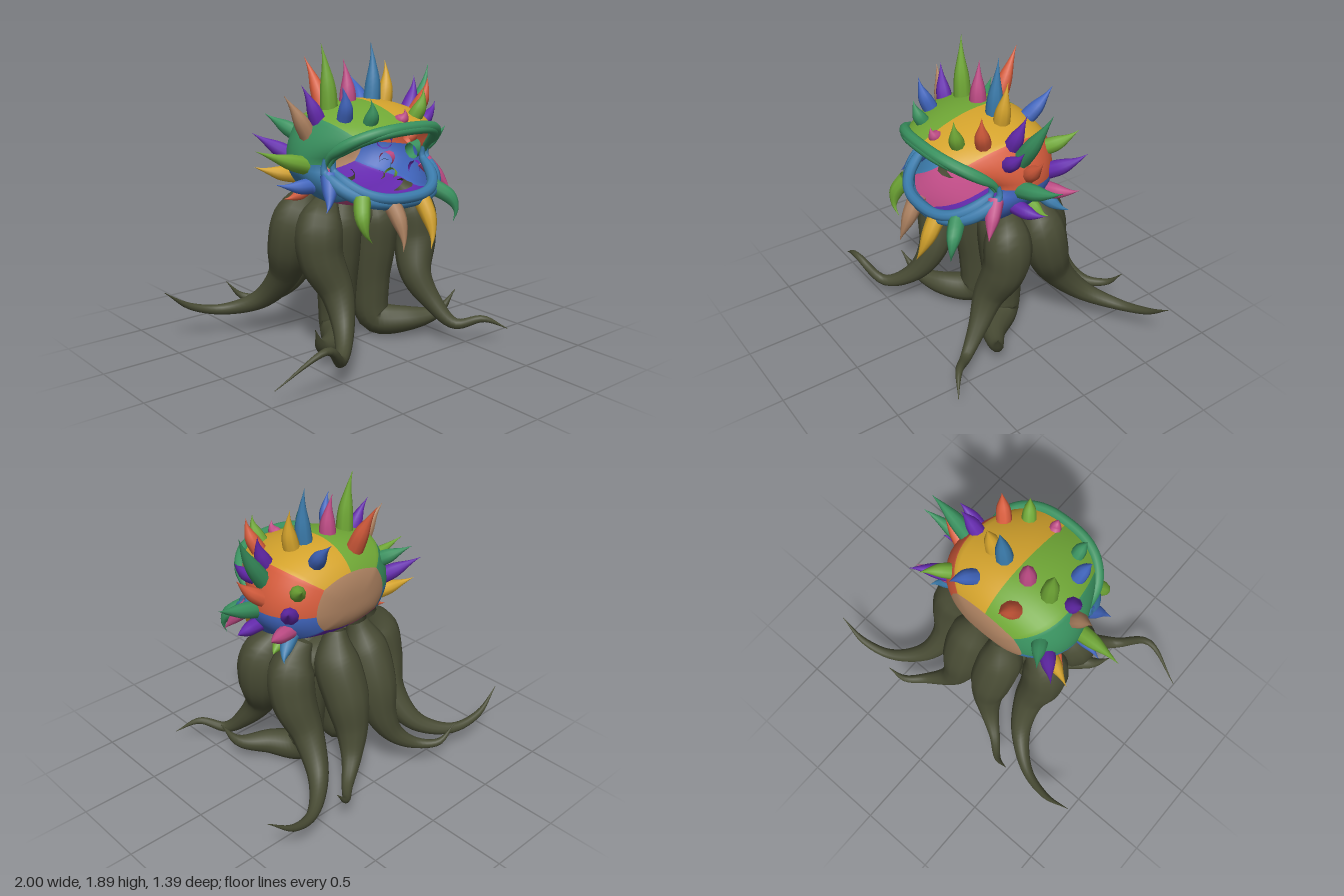
import * as THREE from 'three';
import { mergeVertices } from 'three/addons/utils/BufferGeometryUtils.js';

const V = (x, y, z) => new THREE.Vector3(x, y, z);
const colours = {
  olive: 0x484b34, green: 0x70a836, yellow: 0xd4a32c, red: 0xd65c3c, blue: 0x4065bd,
  steel: 0x3b7bab, teal: 0x39915f, brown: 0xac8160, purple: 0x6429ad, pink: 0xbf4c86,
};

// Tube with a radius that varies along its control points
function taperedTube(points, radii, segments, sides) {
  const curve = new THREE.CatmullRomCurve3(points);
  const profile = new THREE.SplineCurve(radii.map((r) => new THREE.Vector2(r, 0)));
  const tube = new THREE.TubeGeometry(curve, segments, 1, sides);
  const pos = tube.attributes.position;
  const v = V(0, 0, 0);
  for (let i = 0; i <= segments; i++) {
    const u = i / segments;
    const centre = curve.getPointAt(u);
    const r = Math.max(0.001, profile.getPoint(curve.getUtoTmapping(u)).x);
    for (let j = 0; j <= sides; j++) {
      const k = i * (sides + 1) + j;
      v.fromBufferAttribute(pos, k).sub(centre).multiplyScalar(r).add(centre);
      pos.setXYZ(k, v.x, v.y, v.z);
    }
  }
  tube.deleteAttribute('uv');
  tube.deleteAttribute('normal');
  const geo = mergeVertices(tube, 1e-5);
  geo.computeVertexNormals();
  return geo;
}

// Mouth opening: a rounded loop that is swept back at the corners
function rim(angle, scale = 1, forward = 0) {
  const c = Math.cos(angle), s = Math.sin(angle);
  const round = (t) => Math.sign(t) * Math.abs(t) ** 0.78;
  return V(0.385 * round(c) * scale, 1.2 + 0.21 * round(s) * scale,
    0.19 + 0.29 * Math.abs(s) + forward);
}

// Widest ring of the head, between a square and a circle
function waist(a, b) {
  const v = V(a, b, 0);
  const p = v.clone().normalize().multiplyScalar(0.75).addScaledVector(v, 0.25);
  return V(0.47 * p.x, 1.2 + (p.y > 0 ? 0.34 : 0.25) * p.y, 0.02);
}

// Maps a cube onto the head: the rear closes as a dome, the front runs to the mouth rim
function headPoint(a, b, c) {
  const m = Math.max(Math.abs(a), Math.abs(b));
  if (m === 0) return V(0, 1.2, -0.3);
  const from = waist(a / m, b / m);
  if (c <= 0) {
    const polar = THREE.MathUtils.degToRad(c > -1 ? 90 + 61 * c : 29 * m);
    const spread = Math.sin(polar) ** 0.75;
    return V(from.x * spread, 1.2 + (from.y - 1.2) * spread, 0.02 - 0.32 * Math.cos(polar));
  }
  const to = rim(Math.atan2(b, a));
  const p = from.clone().lerp(to, c * c);
  p.z = from.z + (to.z - from.z) * c;
  if (b < 0) p.y += 0.035 * b * Math.sin(Math.PI * c);
  return p;
}

function headGeometry(order) {
  const box = new THREE.BoxGeometry(2, 2, 2, 16, 16, 16);
  box.deleteAttribute('uv');
  box.deleteAttribute('normal');
  const geo = mergeVertices(box);
  const pos = geo.attributes.position;
  const index = geo.index.array;
  const buckets = order.map(() => []);
  // Sort the cube's triangles into coloured panels and leave the front open
  for (let i = 0; i < index.length; i += 3) {
    const tri = [index[i], index[i + 1], index[i + 2]];
    const m = V(0, 0, 0);
    tri.forEach((k) => m.add(V(pos.getX(k), pos.getY(k), pos.getZ(k))));
    m.divideScalar(3);
    let name;
    if (m.z > 0.999) continue;
    if (m.z < -0.999) name = 'brown';
    else if (m.y > 0.999) name = m.x < 0 ? 'green' : 'yellow';
    else if (m.y < -0.999) name = m.x < 0 ? 'pink' : 'purple';
    else if (m.x > 0) name = m.y > 0 ? 'red' : 'blue';
    else name = m.y > 0 ? 'teal' : 'steel';
    buckets[order.indexOf(name)].push(...tri);
  }
  geo.setIndex(buckets.flat());
  geo.clearGroups();
  let start = 0;
  buckets.forEach((b, i) => { geo.addGroup(start, b.length, i); start += b.length; });
  for (let i = 0; i < pos.count; i++) {
    const p = headPoint(pos.getX(i), pos.getY(i), pos.getZ(i));
    pos.setXYZ(i, p.x, p.y, p.z);
  }
  geo.computeVertexNormals();
  return geo;
}

// Crown spikes: colour, x, z, height
const crownSpikes = [
  ['green', -0.23, 0.03, 0.37], ['pink', -0.08, 0.02, 0.27], ['steel', 0.1, 0.03, 0.36], ['yellow', 0.19, 0.04, 0.25],
  ['red', -0.13, -0.17, 0.28], ['blue', 0.18, -0.17, 0.15], ['blue', -0.28, 0.24, 0.17], ['teal', -0.18, 0.35, 0.13],
  ['pink', 0.02, 0.38, 0.07], ['green', 0.18, 0.34, 0.16], ['red', 0.29, 0.24, 0.18],
];
// Mirrored flank spikes: colour on +x, colour on -x, base, tip, length factor on -x
const flankSpikes = [
  ['purple', 'purple', [0.35, 1.44, 0.08], [0.44, 1.65, 0.05], 1],
  ['teal', 'brown', [0.41, 1.38, 0.05], [0.61, 1.71, 0], 0.65],
  ['teal', 'green', [0.44, 1.19, 0.07], [0.75, 1.3, 0.03], 1],
  ['green', 'teal', [0.34, 1.35, -0.18], [0.44, 1.45, -0.33], 1],
  ['purple', 'purple', [0.39, 1.22, -0.17], [0.54, 1.34, -0.32], 1],
  ['purple', 'blue', [0.43, 1.07, 0.09], [0.62, 1.09, 0.04], 1],
  ['pink', 'yellow', [0.39, 1.1, -0.14], [0.59, 1.15, -0.23], 1],
  ['green', 'red', [0.35, 1.01, -0.06], [0.47, 0.96, -0.1], 1],
  ['pink', 'blue', [0.39, 1.12, 0.23], [0.49, 0.96, 0.34], 1],
];
// Further spikes on the +x side only
const sideSpikes = [
  ['purple', [0.4, 1.36, 0.14], [0.54, 1.49, 0.14]],
  ['red', [0.43, 1.27, 0.02], [0.6, 1.43, 0.05]],
  ['steel', [0.37, 1.05, -0.14], [0.5, 0.97, -0.23]],
];
// Horns under the lower lip: colour, base, tip, bend
const horns = [
  ['green', [-0.29, 1.0, 0.42], [-0.28, 0.78, 0.49], [-0.06, 0, 0.03]],
  ['brown', [-0.11, 0.97, 0.46], [-0.12, 0.72, 0.58], [0.02, 0, 0.02]],
  ['yellow', [0.12, 0.97, 0.46], [0.09, 0.7, 0.59], [0.03, 0, 0.02]],
  ['teal', [0.28, 1.0, 0.42], [0.35, 0.81, 0.51], [0.05, 0.03, 0.04]],
];

// Tentacle paths on the +x side, and the girth along them
const legPaths = {
  middleLeg: [[0.12, 0.93, 0.01], [0.15, 0.8, 0.01], [0.15, 0.6, 0], [0.14, 0.35, -0.01], [0.16, 0.11, 0.01],
    [0.3, 0.1, 0.17], [0.48, 0.14, 0.27], [0.57, 0.28, 0.33]],
  backOuterLeg: [[0.27, 0.99, -0.13], [0.36, 0.83, -0.13], [0.38, 0.64, -0.17], [0.36, 0.43, -0.27],
    [0.43, 0.23, -0.44], [0.62, 0.16, -0.6], [0.82, 0.21, -0.66], [1, 0.34, -0.65]],
  backInnerLeg: [[0.09, 1.03, -0.22], [0.12, 0.85, -0.27], [0.12, 0.63, -0.36], [0.13, 0.42, -0.42],
    [0.19, 0.27, -0.48], [0.31, 0.18, -0.57], [0.42, 0.19, -0.67], [0.52, 0.3, -0.7]],
};
const slimGirth = [0.068, 0.14, 0.14, 0.102, 0.064, 0.036, 0.022, 0.002];
const stoutGirth = [0.09, 0.15, 0.15, 0.125, 0.11, 0.08, 0.038, 0.002];

// The front pair shares a thigh but ends differently
const frontThigh = [[0.27, 0.97, 0.07], [0.37, 0.83, 0.12], [0.38, 0.64, 0.14], [0.32, 0.42, 0.22]];
const leftFrontEnd = [[0.36, 0.25, 0.33], [0.43, 0.12, 0.47], [0.55, 0.16, 0.6], [0.68, 0.09, 0.69]];
const rightFrontEnd = [[0.37, 0.23, 0.34], [0.52, 0.13, 0.5], [0.7, 0.27, 0.6], [1, 0.1, 0.53]];

export function createModel() {
  const model = new THREE.Group();
  const mat = {};
  for (const [name, color] of Object.entries(colours)) {
    mat[name] = new THREE.MeshStandardMaterial({ color, side: THREE.DoubleSide });
    mat[name].name = name;
  }
  const add = (name, geo, material, parent = model) => {
    const mesh = new THREE.Mesh(geo, material);
    mesh.name = name;
    parent.add(mesh);
    return mesh;
  };

  // Hollow patchwork head
  const order = ['green', 'yellow', 'red', 'blue', 'teal', 'steel', 'brown', 'pink', 'purple'];
  add('head', headGeometry(order), order.map((n) => mat[n]));

  // Each lip is a pair of rolled ridges
  const lip = (name, material, a0, a1, ridges) => {
    for (const [scale, forward, r] of ridges) {
      const points = [];
      for (let i = 0; i <= 16; i++) points.push(rim(a0 + (a1 - a0) * i / 16, scale, forward));
      add(name, taperedTube(points, [0.012, r, r, r, r, r, r, 0.012], 48, 10), material);
    }
  };
  lip('upperLip', mat.teal, -0.03, Math.PI + 0.03, [[1.02, 0, 0.034], [0.95, 0.012, 0.026]]);
  lip('lowerLip', mat.steel, Math.PI - 0.12, 2 * Math.PI + 0.12, [[1.05, -0.01, 0.038], [0.92, 0.012, 0.034]]);

  // Spikes and horns: longer ones are a little thicker
  const spikeGroup = new THREE.Group();
  spikeGroup.name = 'spikes';
  model.add(spikeGroup);
  const spike = (name, colour, base, tip, bend) => {
    const r = Math.min(0.055, 0.033 + 0.08 * base.distanceTo(tip));
    const path = [base.clone().lerp(tip, -0.12), base.clone().lerp(tip, 0.35).addScaledVector(bend, 0.8),
      base.clone().lerp(tip, 0.75).addScaledVector(bend, 0.7), tip];
    add(name, taperedTube(path, [r, r * 0.85, r * 0.3, 0.001], 12, 9), mat[colour], spikeGroup);
  };
  const hook = V(0.01, -0.012, 0.012);
  for (const [colour, x, z, height] of crownSpikes) {
    const base = V(x, 1.51 - 0.45 * z * z, z);
    const lean = z < -0.1 ? -0.14 : z > 0.2 ? 0.04 : -0.02;
    spike('crownSpike', colour, base, base.clone().add(V(x * 0.16, height, lean)), hook);
  }
  for (const [left, right, base, tip, factor] of flankSpikes) {
    const a = V(...base), b = V(...tip);
    const flip = V(-1, 1, 1);
    spike('flankSpike', left, a, b, hook);
    spike('flankSpike', right, a.clone().multiply(flip), a.clone().lerp(b, factor).multiply(flip), hook);
  }
  for (const [colour, base, tip] of sideSpikes) spike('sideSpike', colour, V(...base), V(...tip), hook);
  for (const [colour, base, tip, bend] of horns) spike('lipHorn', colour, V(...base), V(...tip), V(...bend));

  // Tentacle legs joined by a hub
  const hub = add('legHub', new THREE.SphereGeometry(1, 24, 16), mat.olive);
  hub.scale.set(0.35, 0.14, 0.17);
  hub.position.set(0, 0.8, -0.06);
  const leg = (name, side, path, girth) =>
    add(name, taperedTube(path.map(([x, y, z]) => V(x * side, y, z)), girth, 44, 12), mat.olive);
  for (const side of [1, -1])
    for (const [name, path] of Object.entries(legPaths))
      leg(name, side, path, name === 'middleLeg' ? stoutGirth : slimGirth);
  leg('leftFrontLeg', 1, [...frontThigh, ...leftFrontEnd], slimGirth);
  leg('rightFrontLeg', -1, [...frontThigh, ...rightFrontEnd], slimGirth);

  return model;
}
